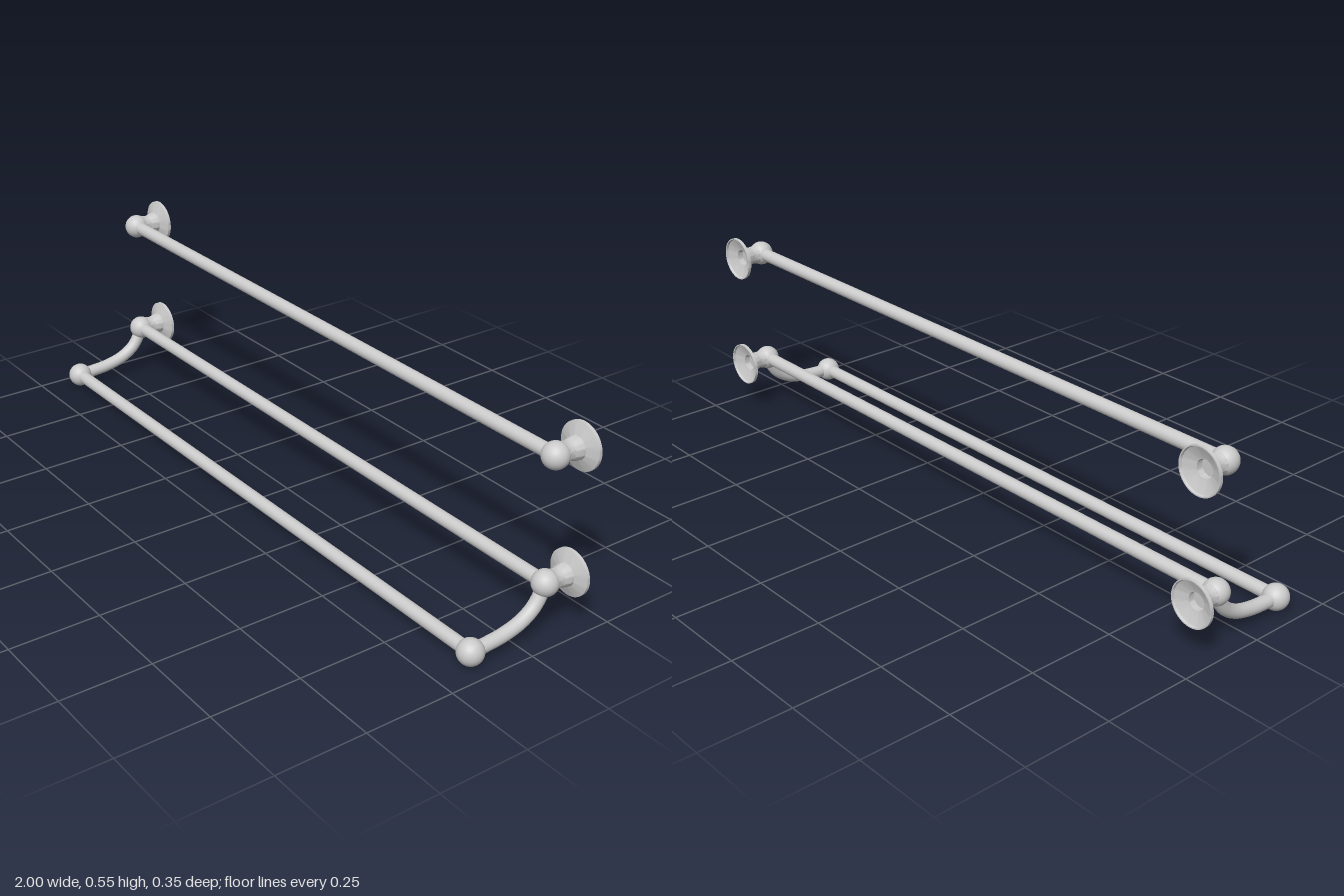
import * as THREE from 'three';
import { toCreasedNormals } from 'three/addons/utils/BufferGeometryUtils.js';

const material = new THREE.MeshStandardMaterial({ color: 0xcccccc });
const END_X = 0.937;       // x of the end balls
const REAR_Z = -0.088;     // z of the wall-side bars
const FRONT = { y: 0.037, z: 0.142 };
const TOP_Y = 0.489, LOW_Y = 0.143;
const BALL_R = 0.035, BAR_R = 0.0185;

function add(parent, name, geometry, x = 0, y = 0, z = 0) {
  const mesh = new THREE.Mesh(geometry, material);
  mesh.name = name;
  mesh.position.set(x, y, z);
  parent.add(mesh);
  return mesh;
}

// Wall post: hollow flange flowing into a waisted neck, axis along z
function postGeometry() {
  const neck = new THREE.SplineCurve([
    [0.031, -0.066], [0.0295, -0.055], [0.0265, -0.043], [0.0255, -0.034], [0.028, -0.022], [0.03, -0.012],
  ].map(p => new THREE.Vector2(...p))).getPoints(20);
  const hollow = [
    [0, -0.05], [0.024, -0.05], [0.024, -0.068], [0.032, -0.07], [0.058, -0.081],
    [0.06, -0.087], [0.063, -0.087], [0.063, -0.078],
  ].map(p => new THREE.Vector2(...p));
  const lathe = new THREE.LatheGeometry([...hollow, ...neck], 48);
  return toCreasedNormals(lathe.rotateX(Math.PI / 2), 0.4);
}

// Curved arm dropping from the lower post to the front bar
function armGeometry() {
  const path = new THREE.CatmullRomCurve3([
    [FRONT.y, FRONT.z], [0.039, 0.09], [0.044, 0.04], [0.059, -0.014],
    [0.084, -0.053], [0.114, -0.075], [LOW_Y, REAR_Z],
  ].map(([y, z]) => new THREE.Vector3(0, y, z)));
  return new THREE.TubeGeometry(path, 48, BAR_R, 28);
}

export function createModel() {
  const group = new THREE.Group();
  group.name = 'towelRack';

  const post = postGeometry();
  const ball = new THREE.SphereGeometry(BALL_R, 40, 28);
  const arm = armGeometry();
  const bar = new THREE.CylinderGeometry(BAR_R, BAR_R, 2 * END_X, 32).rotateZ(Math.PI / 2);

  // Three horizontal bars
  add(group, 'topBar', bar, 0, TOP_Y, REAR_Z);
  add(group, 'lowerRearBar', bar, 0, LOW_Y, REAR_Z);
  add(group, 'lowerFrontBar', bar, 0, FRONT.y, FRONT.z);

  // Matching end fittings on both sides
  for (const [side, x] of [['left', END_X], ['right', -END_X]]) {
    for (const [level, y] of [['Top', TOP_Y], ['Lower', LOW_Y]]) {
      add(group, `${side}${level}Post`, post, x, y, REAR_Z);
      add(group, `${side}${level}Ball`, ball, x, y, REAR_Z);
    }
    add(group, `${side}Arm`, arm, x);
    add(group, `${side}FrontBall`, ball, x, FRONT.y, FRONT.z);
  }
  return group;
}
